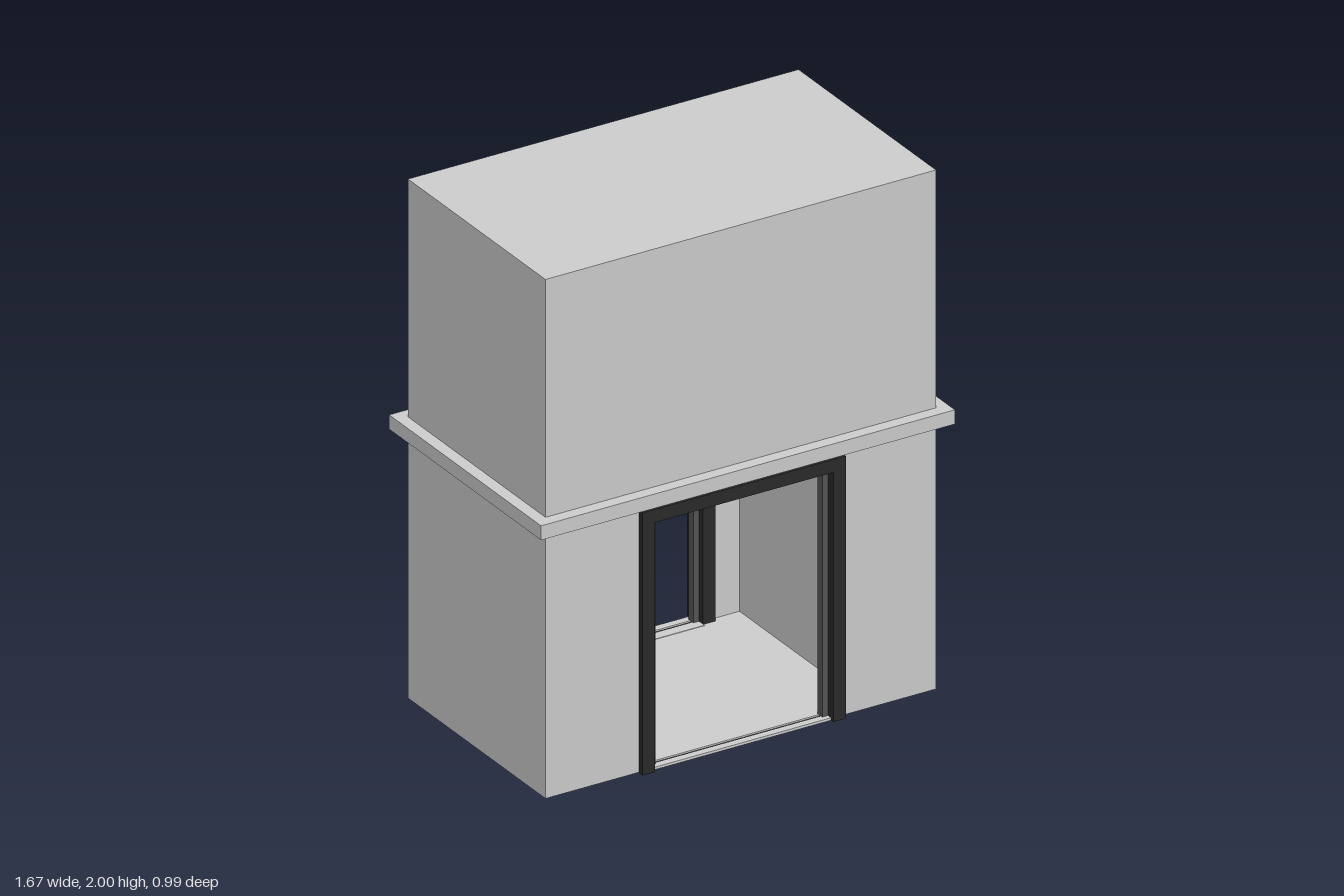
import * as THREE from 'three';

const grey = new THREE.MeshStandardMaterial({ color: 0xcccccc });
const sheet = new THREE.MeshStandardMaterial({ color: 0xcccccc, side: THREE.DoubleSide });
const dark = new THREE.MeshStandardMaterial({ color: 0x2a2a2a });
const steel = new THREE.MeshStandardMaterial({ color: 0x555555 });

// Box given by its minimum and maximum on each axis
function box(parent, name, mat, x0, x1, y0, y1, z0, z1) {
  const geo = new THREE.BoxGeometry(x1 - x0, y1 - y0, Math.abs(z1 - z0));
  const mesh = new THREE.Mesh(geo, mat);
  mesh.name = name;
  mesh.position.set((x0 + x1) / 2, (y0 + y1) / 2, (z0 + z1) / 2);
  parent.add(mesh);
}

// Thin wall with a doorway cut up from its lower edge
function doorWall(parent, name, halfWidth, bottom, top, z) {
  const w = 0.38, h = 0.985;
  const s = new THREE.Shape([
    [-halfWidth, bottom], [-w, bottom], [-w, h], [w, h], [w, bottom],
    [halfWidth, bottom], [halfWidth, top], [-halfWidth, top],
  ].map(([x, y]) => new THREE.Vector2(x, y)));
  const mesh = new THREE.Mesh(new THREE.ShapeGeometry(s), sheet);
  if (z < 0) mesh.rotation.y = Math.PI;
  mesh.name = name;
  mesh.position.z = z;
  parent.add(mesh);
}

// Open-bottomed enclosure: two door walls, two side walls and a top
function enclosure(name, halfX, halfZ, bottom, top) {
  const g = new THREE.Group();
  g.name = name;
  doorWall(g, name + 'FrontWall', halfX, bottom, top, halfZ);
  doorWall(g, name + 'BackWall', halfX, bottom, top, -halfZ);
  for (const side of [-1, 1]) {
    const wall = new THREE.Mesh(new THREE.PlaneGeometry(2 * halfZ, top - bottom), sheet);
    wall.name = name + 'SideWall';
    wall.rotation.y = side * Math.PI / 2;
    wall.position.set(side * halfX, (top + bottom) / 2, 0);
    g.add(wall);
  }
  const lid = new THREE.Mesh(new THREE.PlaneGeometry(2 * halfX, 2 * halfZ), sheet);
  lid.name = name + 'Ceiling';
  lid.rotation.x = -Math.PI / 2;
  lid.position.y = top;
  g.add(lid);
  return g;
}

// Door frame, sill and sliding tracks; outer and inner are z limits
function doorway(name, outer, inner) {
  const g = new THREE.Group();
  g.name = name;
  const dir = Math.sign(outer);
  for (const side of [-1, 1]) {
    const span = (a, b) => (side > 0 ? [a, b] : [-b, -a]);
    box(g, 'jamb', dark, ...span(0.36, 0.41), 0, 1.01, inner, outer);
    // Edge of the retracted door leaf
    box(g, 'doorEdge', steel, ...span(0.337, 0.36), 0.008, 0.96, dir * 0.405, dir * 0.435);
    box(g, 'doorTrack', dark, ...span(0.41, 0.76), 0, 0.008, dir * 0.41, dir * 0.44);
  }
  box(g, 'lintel', dark, -0.36, 0.36, 0.96, 1.01, inner, outer);
  // Sill in strips, leaving a groove for the door
  box(g, 'sillInner', grey, -0.36, 0.36, 0, 0.01, dir * 0.37, dir * 0.412);
  box(g, 'sillGroove', dark, -0.36, 0.36, 0.001, 0.004, dir * 0.412, dir * 0.425);
  box(g, 'sillOuter', grey, -0.36, 0.36, 0, 0.01, dir * 0.425, dir * 0.455);
  return g;
}

export function createModel() {
  const model = new THREE.Group();
  model.name = 'liftTower';

  // Tall outer shell and the cabin inside it
  model.add(enclosure('shell', 0.788, 0.448, 0.003, 2));
  model.add(enclosure('cabin', 0.52, 0.4, 0.003, 1.005));
  box(model, 'cabinFloor', grey, -0.52, 0.52, 0.001, 0.008, -0.4, 0.4);

  // Ledge around the tower above the doors
  box(model, 'ledge', grey, -0.835, 0.835, 1.03, 1.085, -0.495, 0.495);

  // Doorways on both faces
  model.add(doorway('frontDoorway', 0.47, 0.37));
  model.add(doorway('backDoorway', -0.482, -0.38));

  // Call panel beside the back door
  box(model, 'callPanel', grey, 0.455, 0.55, 0.46, 0.63, -0.456, -0.445);
  return model;
}
